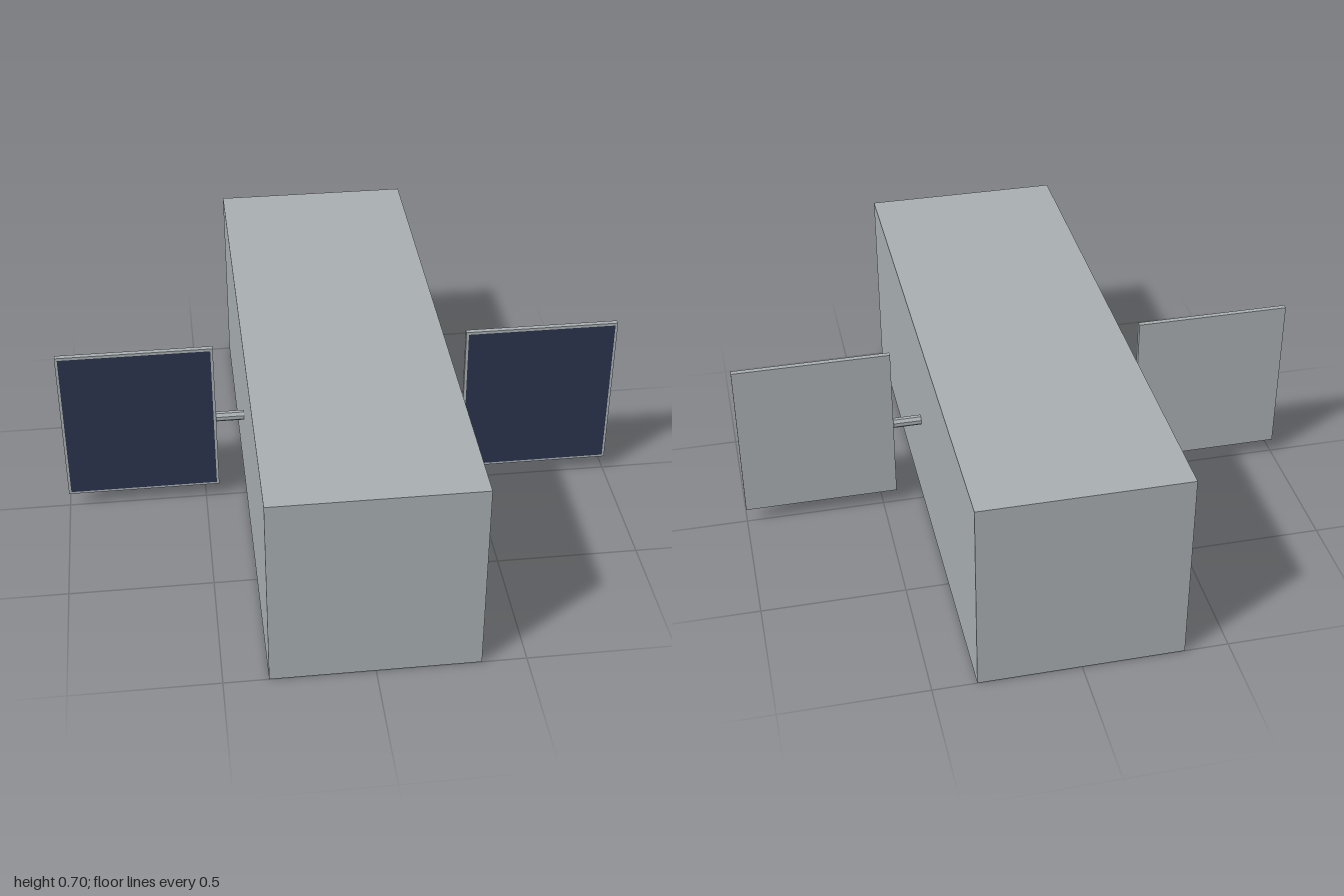
import * as THREE from 'three';

export function createModel() {
  const model = new THREE.Group();
  model.name = 'satellite';
  const hull = new THREE.MeshStandardMaterial({ name: 'hull grey', color: 0xa8aeb1 });
  const cell = new THREE.MeshStandardMaterial({ name: 'solar cell blue', color: 0x2c334e });

  const add = (parent, name, geometry, material, x, y, z) => {
    const mesh = new THREE.Mesh(geometry, material);
    mesh.name = name;
    mesh.position.set(x, y, z);
    parent.add(mesh);
    return mesh;
  };

  // Long box body
  const height = 0.705, midY = height / 2;
  add(model, 'body', new THREE.BoxGeometry(0.7, height, 2), hull, 0, midY, 0);

  // One arm, panel and cell sheet on each side; cells face the front only
  const panelW = 0.55, panelH = 0.59, panelT = 0.018, border = 0.009;
  const armGeometry = new THREE.CylinderGeometry(0.018, 0.018, 0.1, 8);
  armGeometry.rotateY(Math.PI / 8).rotateZ(Math.PI / 2);
  const panelGeometry = new THREE.BoxGeometry(panelW, panelH, panelT);
  const cellGeometry = new THREE.PlaneGeometry(panelW - 2 * border, panelH - 2 * border);
  const flatHull = hull.clone();
  flatHull.flatShading = true;

  for (const [side, label] of [[1, 'left'], [-1, 'right']]) {
    const wing = new THREE.Group();
    wing.name = label + 'SolarWing';
    model.add(wing);
    const x = side * (1 - panelW / 2);
    add(wing, label + 'Arm', armGeometry, flatHull, side * 0.4, midY, 0);
    add(wing, label + 'Panel', panelGeometry, hull, x, midY, 0);
    add(wing, label + 'SolarCells', cellGeometry, cell, x, midY, panelT / 2 + 0.001);
  }
  return model;
}
